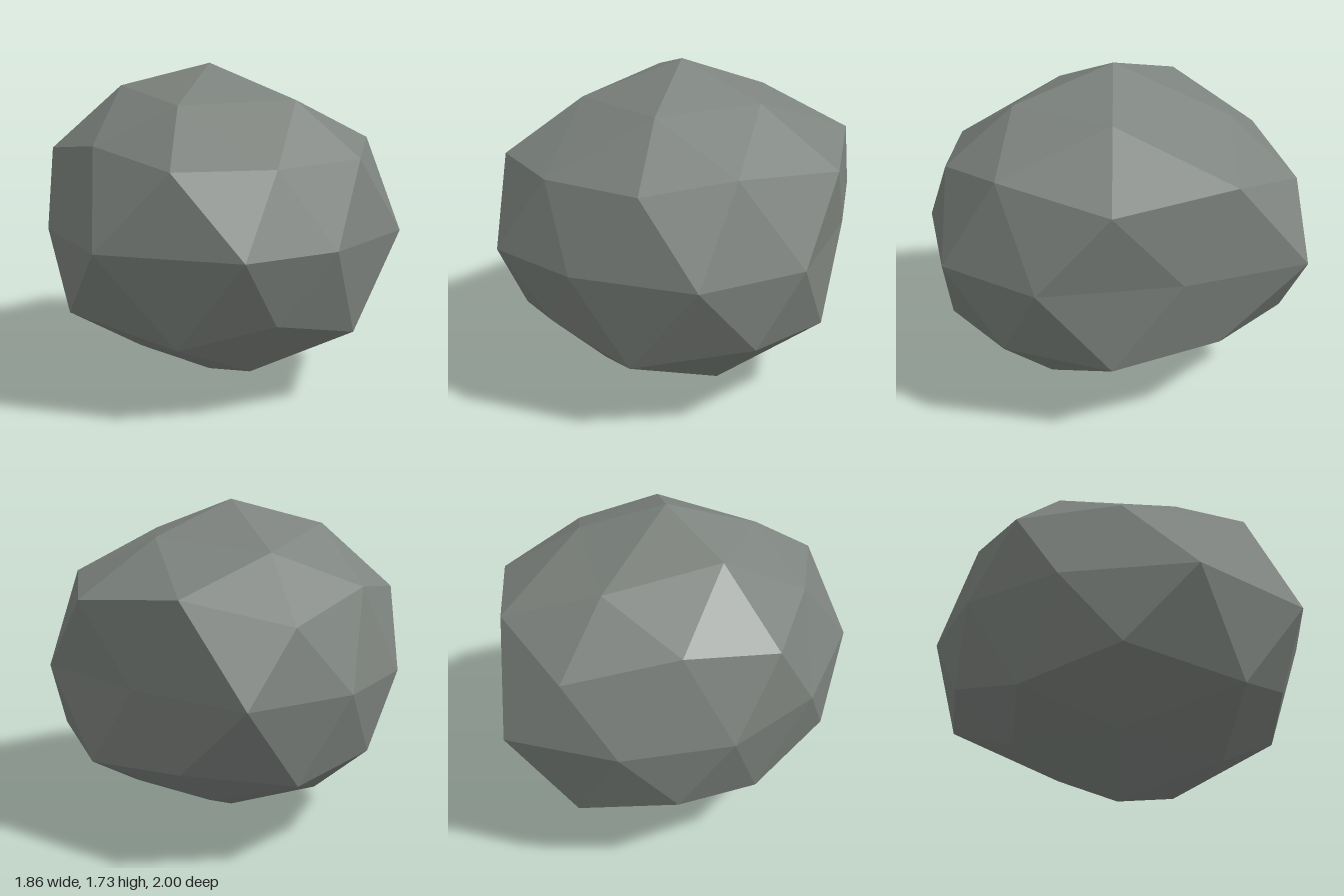
import * as THREE from 'three';

// Rings of the boulder from top to bottom, each running from +x round towards +z
const top = [0.015, 1.726, 0];
const crown = [
  [0.48, 1.547, 0], [0.18, 1.547, 0.507], [-0.408, 1.531, 0.302],
  [-0.34, 1.604, -0.329], [0.19, 1.505, -0.59],
];
const shoulder = [
  [0.919, 1.268, 0], [0.66, 1.333, 0.55], [0.308, 1.272, 0.843], [-0.232, 1.262, 0.843],
  [-0.678, 1.262, 0.62], [-0.714, 1.327, 0], [-0.66, 1.268, -0.53], [-0.238, 1.328, -0.77],
  [0.302, 1.21, -0.931], [0.707, 1.325, -0.589],
];
const waist = [
  [0.928, 0.873, 0.355], [0.626, 0.873, 0.837], [0.015, 0.873, 1], [-0.49, 0.873, 0.93],
  [-0.935, 0.873, 0.357], [-0.817, 0.873, -0.308], [-0.497, 0.873, -0.769], [0.015, 0.873, -1],
  [0.593, 0.873, -0.964], [0.82, 0.873, -0.34],
];
const flank = [
  [0.873, 0.428, 0], [0.768, 0.488, 0.536], [0.264, 0.4, 0.874], [-0.229, 0.514, 0.85],
  [-0.623, 0.404, 0.59], [-0.868, 0.497, 0], [-0.574, 0.402, -0.492], [-0.237, 0.508, -0.838],
  [0.26, 0.445, -0.906], [0.68, 0.477, -0.54],
];
const foot = [
  [0.439, 0.134, 0.327], [-0.13, 0.176, 0.536], [-0.444, 0.234, 0],
  [-0.147, 0.24, -0.54], [0.37, 0.21, -0.32],
];
const bottom = [0.015, 0, 0];

function boulderGeometry() {
  const positions = [];
  const tri = (a, b, c) => positions.push(...a, ...b, ...c);
  const at = (ring, i) => ring[(i + ring.length) % ring.length];

  // Caps, and the bands joining a ring of five to a ring of ten
  for (let k = 0; k < 5; k++) {
    tri(top, at(crown, k + 1), crown[k]);
    tri(crown[k], at(shoulder, 2 * k + 1), shoulder[2 * k]);
    tri(crown[k], shoulder[2 * k], at(shoulder, 2 * k - 1));
    tri(crown[k], at(crown, k + 1), at(shoulder, 2 * k + 1));

    const j = 2 * k + 1;
    tri(foot[k], flank[j], at(flank, j + 1));
    tri(foot[k], at(flank, j - 1), flank[j]);
    tri(foot[k], at(flank, j + 1), at(foot, k + 1));
    tri(bottom, foot[k], at(foot, k + 1));
  }

  // Zigzag bands above and below the waist
  for (let j = 0; j < 10; j++) {
    tri(shoulder[j], at(shoulder, j + 1), waist[j]);
    tri(at(shoulder, j + 1), at(waist, j + 1), waist[j]);
    tri(waist[j], at(flank, j + 1), flank[j]);
    tri(waist[j], at(waist, j + 1), at(flank, j + 1));
  }

  const geometry = new THREE.BufferGeometry();
  geometry.setAttribute('position', new THREE.Float32BufferAttribute(positions, 3));
  geometry.computeVertexNormals();
  return geometry;
}

export function createModel() {
  const stone = new THREE.MeshStandardMaterial({ color: 0x7d837e, flatShading: true });
  stone.name = 'stone grey';

  const boulder = new THREE.Mesh(boulderGeometry(), stone);
  boulder.name = 'boulder';

  const group = new THREE.Group();
  group.name = 'rock';
  group.add(boulder);
  return group;
}
